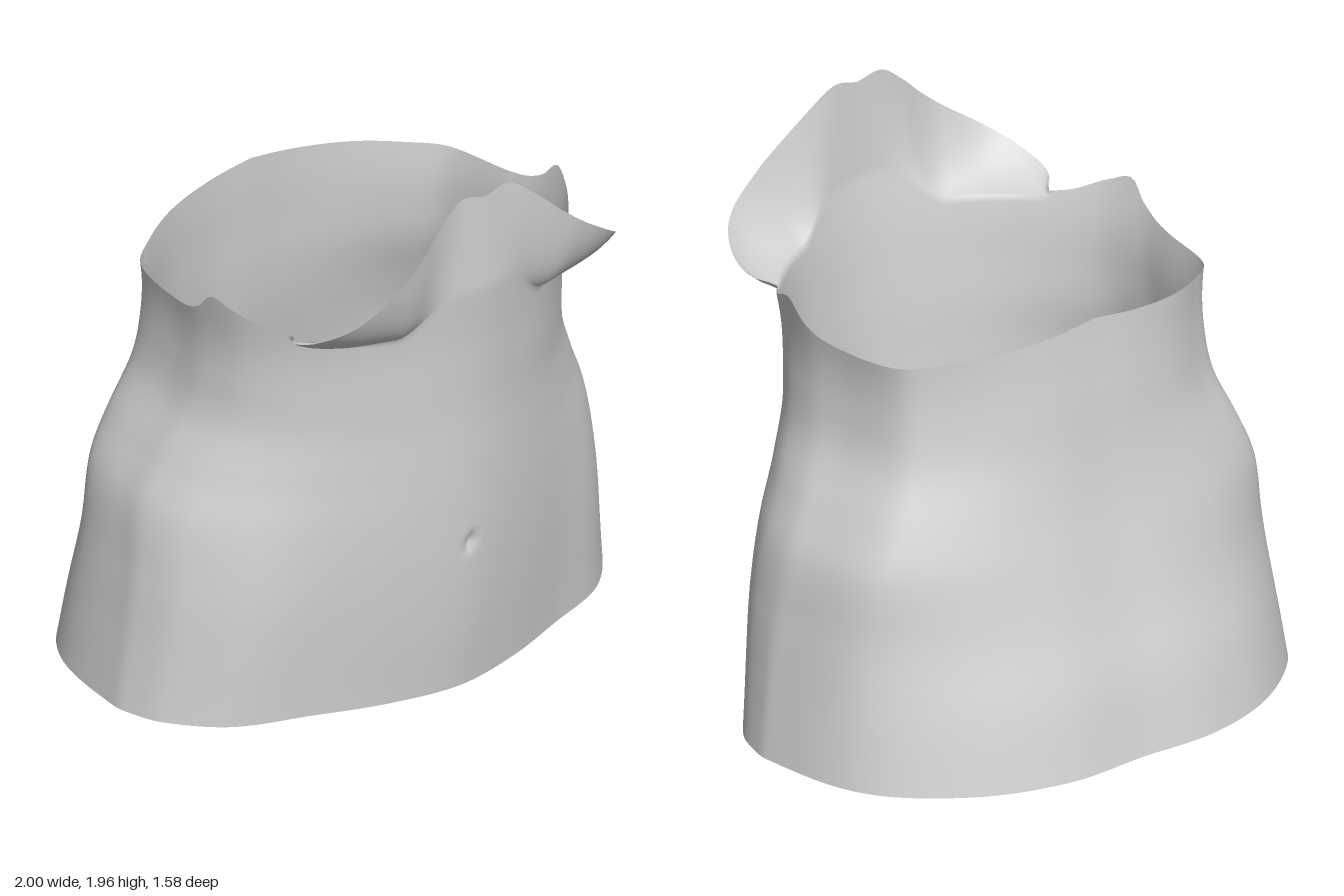
import * as THREE from 'three';

// Smooth interpolation through rows of [key, value, value, ...]; returns the values
function sample(rows, t) {
  const last = rows.length - 1;
  let i = 0;
  while (i < last - 1 && t > rows[i + 1][0]) i++;
  const p = rows[i], q = rows[i + 1], o = rows[Math.max(i - 1, 0)], r = rows[Math.min(i + 2, last)];
  const h = q[0] - p[0];
  const u = THREE.MathUtils.clamp((t - p[0]) / h, 0, 1);
  const u2 = u * u, u3 = u2 * u;
  return p.slice(1).map((v, k) => {
    const m0 = (q[k + 1] - o[k + 1]) / (q[0] - o[0]) * h;
    const m1 = (r[k + 1] - p[k + 1]) / (r[0] - p[0]) * h;
    return (2 * u3 - 3 * u2 + 1) * v + (u3 - 2 * u2 + u) * m0 + (3 * u2 - 2 * u3) * q[k + 1] + (u3 - u2) * m1;
  });
}

// Height: half width, front depth, back depth
const PROFILE = [
  [0, 0.998, 0.61, 0.79],
  [0.25, 0.965, 0.645, 0.74],
  [0.5, 0.932, 0.67, 0.67],
  [0.73, 0.893, 0.685, 0.615],
  [0.9, 0.82, 0.693, 0.58],
  [1.08, 0.74, 0.70, 0.555],
  [1.25, 0.715, 0.712, 0.54],
  [1.4, 0.718, 0.725, 0.527],
  [1.6, 0.755, 0.75, 0.515],
];

// Angle from the front: x, z of the hip outline, then x, z of the waist outline,
// as fractions of the half width and depths (first and last rows mirror their neighbours)
const SECTION = [
  [-20, -0.27, 0.918, -0.279, 0.952],
  [0, 0, 1, 0, 1],
  [20, 0.27, 0.918, 0.279, 0.952],
  [42, 0.53, 0.762, 0.557, 0.828],
  [62, 0.78, 0.598, 0.794, 0.628],
  [78, 0.94, 0.328, 0.947, 0.414],
  [90, 0.992, 0.115, 1, 0.193],
  [102, 1, -0.03, 0.989, 0],
  [123, 0.95, -0.418, 0.912, -0.531],
  [136, 0.835, -0.658, 0.738, -0.74],
  [150, 0.59, -0.886, 0.515, -0.901],
  [165, 0.3, -0.996, 0.25, -0.987],
  [180, 0, -0.99, 0, -1],
  [195, -0.3, -0.996, -0.25, -0.987],
];

// Angle from the front: height of the upper edge round the sides and back
const RIM = [
  [63, 1.475], [70, 1.49], [80, 1.545], [86, 1.572], [91, 1.505],
  [102, 1.462], [123, 1.46], [150, 1.495], [180, 1.54],
];

// Angle from the front: x, y, z of the flared upper edge on the chest
const CHEST = [
  [0, 0, 1.945, 0.755], [8, 0.1, 1.963, 0.752], [17, 0.2, 1.895, 0.765],
  [26, 0.3, 1.805, 0.785], [34, 0.4, 1.725, 0.79], [45, 0.55, 1.62, 0.75],
  [53, 0.63, 1.55, 0.65], [59, 0.645, 1.5, 0.53], [63, 0.575, 1.475, 0.45],
];

const JOIN = 63; // angle where the chest flare meets the side
const bump = (d, w) => Math.exp(-(d * d) / (w * w));

// Point on the trunk; deg runs 0 (front) to 180 (back) on the +x half
function bodyPoint(deg, y) {
  const [width, front, back] = sample(PROFILE, y);
  const [hipX, hipZ, waistX, waistZ] = sample(SECTION, deg);
  const k = THREE.MathUtils.smoothstep(y, 0, 1.3);
  const fx = THREE.MathUtils.lerp(hipX, waistX, k);
  const fz = THREE.MathUtils.lerp(hipZ, waistZ, k);
  const x = fx * width;
  let z = fz * (fz > 0 ? front : back);
  z -= 0.06 * fx * fx * bump(y - 0.82, 0.27);                              // hips set back
  if (deg < 90) z -= 0.025 * bump(x, 0.018) * bump(y - 0.58, 0.025);       // navel
  return new THREE.Vector3(x, y, z);
}

// One vertical column of points from the lower edge to the upper edge
function column(deg, bodyRows, topRows) {
  const pts = [];
  const w = THREE.MathUtils.smoothstep(deg, 9, 32); // 0 at the breastbone, 1 under the flare
  const split = 1.59 - 0.135 * w;
  for (let j = 0; j <= bodyRows; j++) pts.push(bodyPoint(deg, split * j / bodyRows));
  if (deg >= JOIN) {
    const [top] = sample(RIM, deg);
    for (let j = 1; j <= topRows; j++) pts.push(bodyPoint(deg, split + (top - split) * j / topRows));
    return pts;
  }
  const start = pts[bodyRows];
  const end = new THREE.Vector3(...sample(CHEST, deg));
  const d = end.clone().sub(start);
  const bend = start.clone().add(new THREE.Vector3(
    d.x * 0.5, d.y * (0.5 - 0.38 * w), d.z * (0.5 + 0.14 * w)));
  const curve = new THREE.QuadraticBezierCurve3(start, bend, end);
  for (let j = 1; j <= topRows; j++) pts.push(curve.getPoint(j / topRows));
  return pts;
}

// Closed loft of mirrored columns with shared vertices
function torsoGeometry(cols, bodyRows, topRows) {
  const rows = bodyRows + topRows + 1;
  const positions = [], indices = [];
  for (let i = 0; i < cols; i++) {
    const deg = 360 * i / cols;
    const side = deg > 180 ? -1 : 1;
    for (const p of column(side < 0 ? 360 - deg : deg, bodyRows, topRows)) {
      positions.push(p.x * side, p.y, p.z);
    }
  }
  for (let i = 0; i < cols; i++) {
    const a = i * rows, b = ((i + 1) % cols) * rows;
    for (let j = 0; j < rows - 1; j++) {
      indices.push(a + j, b + j, b + j + 1, a + j, b + j + 1, a + j + 1);
    }
  }
  const geometry = new THREE.BufferGeometry();
  geometry.setAttribute('position', new THREE.Float32BufferAttribute(positions, 3));
  geometry.setIndex(indices);
  geometry.computeVertexNormals();
  return geometry;
}

export function createModel() {
  const group = new THREE.Group();
  group.name = 'torsoShell';
  const grey = new THREE.MeshStandardMaterial({ color: 0xd4d4d4, side: THREE.DoubleSide });
  grey.name = 'plain grey';

  // Open shell of the trunk with the flared chest edge
  const torso = new THREE.Mesh(torsoGeometry(240, 64, 18), grey);
  torso.name = 'torso';
  group.add(torso);
  return group;
}
